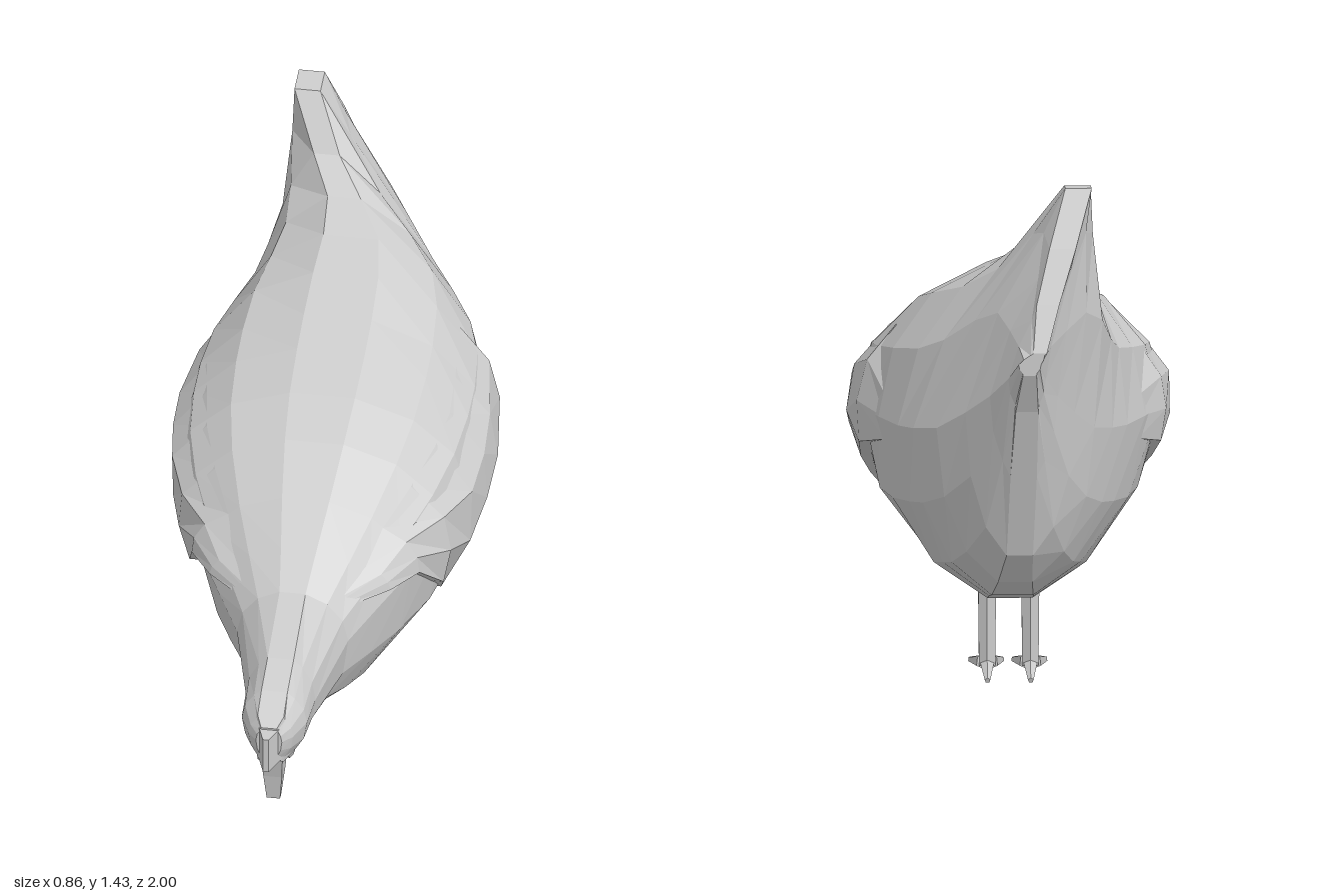
import * as THREE from 'three';

const SIDES = 14;
const material = new THREE.MeshStandardMaterial({ color: 0xcccccc, flatShading: true });
const thinMaterial = new THREE.MeshStandardMaterial({ color: 0xcccccc, flatShading: true, side: THREE.DoubleSide });

// Body sections from head to tail: z, top, widest height, bottom, half width
const sections = [
  [0.95, 0.49, 0.45, 0.39, 0.035],
  [0.92, 0.51, 0.45, 0.37, 0.06],
  [0.86, 0.55, 0.46, 0.35, 0.088],
  [0.76, 0.59, 0.47, 0.34, 0.094],
  [0.52, 0.645, 0.51, 0.28, 0.15],
  [0.42, 0.72, 0.56, 0.235, 0.215],
  [0.31, 0.805, 0.61, 0.195, 0.285],
  [0.17, 0.9, 0.66, 0.165, 0.355],
  [0.04, 0.965, 0.7, 0.17, 0.395],
  [-0.1, 1.015, 0.72, 0.22, 0.41],
  [-0.21, 1.055, 0.73, 0.285, 0.41],
  [-0.34, 1.105, 0.73, 0.235, 0.395],
  [-0.46, 1.15, 0.73, 0.235, 0.355],
  [-0.57, 1.2, 0.73, 0.265, 0.305],
  [-0.65, 1.28, 0.74, 0.285, 0.265],
  [-0.74, 1.42, 0.76, 0.34, 0.21],
  [-0.82, 1.43, 0.82, 0.43, 0.145],
  [-0.89, 1.28, 0.88, 0.66, 0.09],
  [-0.95, 1.14, 0.94, 0.85, 0.05],
  [-1.0, 1.02, 0.99, 0.96, 0.03],
];

// The tail pinches the upper half into a blade; the breast pinches the lower half into a keel
const bump = (z, centre, spread) => Math.exp(-(((z - centre) / spread) ** 2));
const tailAmount = (z) => bump(z, -0.77, 0.17);
const upperPower = (z) => 1 + 1.1 * tailAmount(z);
const lowerPower = (z) => 1 + 0.8 * bump(z, 0, 0.38);

// Sideways lean: the tail tip to one side, the breast slightly to the other
const lean = (z, c) => (c > 0 ? -0.17 * tailAmount(z) * c ** 1.2 : 0.022 * bump(z, 0, 0.4) * Math.sqrt(-c));

// Skin rows of points; closed rows wrap round and get end caps
function loft(rows, closed, flip = false) {
  const n = rows[0].length;
  const index = [];
  const tri = (a, b, c) => (flip ? index.push(a, c, b) : index.push(a, b, c));
  for (let i = 0; i < rows.length - 1; i++) {
    for (let j = 0; j < (closed ? n : n - 1); j++) {
      const a = i * n + j, b = i * n + ((j + 1) % n);
      tri(a, b, a + n);
      tri(b, b + n, a + n);
    }
  }
  if (closed) {
    const last = (rows.length - 1) * n;
    for (let j = 1; j < n - 1; j++) {
      tri(0, j + 1, j);
      tri(last, last + j, last + j + 1);
    }
  }
  const geometry = new THREE.BufferGeometry();
  geometry.setAttribute('position', new THREE.Float32BufferAttribute(rows.flat(2), 3));
  geometry.setIndex(index);
  geometry.computeVertexNormals();
  return geometry;
}

function bodyRing([z, top, mid, bottom, width]) {
  const centreX = -0.04 * Math.max(0, (-z - 0.7) / 0.3) + (z > 0.7 ? 0.008 : 0);
  return Array.from({ length: SIDES }, (_, j) => {
    const angle = ((j + 0.5) / SIDES) * Math.PI * 2;
    const s = Math.sin(angle);
    const c = Math.cos(angle) / Math.cos(Math.PI / SIDES);
    const power = c > 0 ? upperPower(z) : lowerPower(z);
    const x = Math.max(width * Math.abs(s) ** power, Math.min(0.035, width * 0.6));
    const y = mid + c * (c > 0 ? top - mid : mid - bottom);
    return [centreX + Math.sign(s) * x + lean(z, c), y, z];
  });
}

// Position of the body surface on one side at a given z and height
function sideX(z, y, side, lift) {
  let i = 0;
  while (i < sections.length - 2 && sections[i + 1][0] > z) i++;
  const a = sections[i], b = sections[i + 1];
  const t = (a[0] - z) / (a[0] - b[0]);
  const [, top, mid, bottom, width] = a.map((v, k) => v + (b[k] - v) * t);
  const c = THREE.MathUtils.clamp(y > mid ? (y - mid) / (top - mid) : (y - mid) / (mid - bottom), -0.98, 0.98);
  const half = width * Math.sqrt(1 - c * c) ** (y > mid ? upperPower(z) : lowerPower(z));
  return side * (half + lift) + lean(z, c);
}

// Wing outline: z, lower edge, upper edge
const wingOutline = [
  [0.49, 0.595, 0.62], [0.4, 0.605, 0.67], [0.31, 0.61, 0.74], [0.19, 0.51, 0.8], [0.06, 0.41, 0.85],
  [-0.06, 0.49, 0.88], [-0.18, 0.56, 0.92], [-0.36, 0.64, 0.96], [-0.47, 0.67, 0.84],
];

// The right wing is tucked in closer than the left
function wingGeometry(side) {
  // Across the wing: fraction of its height, lift off the body
  const profile = [[0, -0.04], [0, 0.022], [0.35, 0.024], [0.7, 0.02], [1, -0.004]];
  const rows = wingOutline.map(([z, low, high], i) => {
    const end = i === 0 || i === wingOutline.length - 1;
    const lower = side > 0 ? low : Math.max(low, 0.5);
    const upper = side > 0 ? high : Math.min(high, 0.89);
    return profile.map(([t, lift]) => {
      const y = lower + (upper - lower) * t;
      return [sideX(z, y, side, end ? -0.01 : lift), y, z];
    });
  });
  return loft(rows, false, side > 0);
}

// Tapered rod between two points
function rod(from, to, r0, r1, sides = 5) {
  const a = new THREE.Vector3(...from), b = new THREE.Vector3(...to);
  const dir = b.clone().sub(a);
  const geometry = new THREE.CylinderGeometry(r1, r0, dir.length(), sides);
  geometry.applyQuaternion(new THREE.Quaternion().setFromUnitVectors(new THREE.Vector3(0, 1, 0), dir.normalize()));
  const centre = a.add(b).multiplyScalar(0.5);
  return geometry.translate(centre.x, centre.y, centre.z);
}

// Four-cornered ring lying flat, for the beak and comb
const flatRing = (y, x, zFront, zBack, xFront = x) => [
  [0.008 + xFront, y, zFront], [0.008 + x, y, zBack], [0.008 - x, y, zBack], [0.008 - xFront, y, zFront],
];

export function createModel() {
  const model = new THREE.Group();
  const add = (name, geometry, parent = model, mat = material) => {
    const mesh = new THREE.Mesh(geometry, mat);
    mesh.name = name;
    parent.add(mesh);
    return mesh;
  };

  add('body', loft(sections.map(bodyRing), true));

  // Head details
  add('beak', loft([flatRing(0.38, 0.03, 0.91, 0.82), flatRing(0.3, 0.025, 0.89, 0.83),
    flatRing(0.225, 0.018, 0.878, 0.862)], true), model, thinMaterial);
  add('comb', loft([flatRing(0.485, 0.032, 1.0, 0.93, 0.008), flatRing(0.385, 0.032, 1.0, 0.93, 0.008)], true),
    model, thinMaterial);
  for (const side of [1, -1]) {
    const wattle = add(side > 0 ? 'leftWattle' : 'rightWattle', new THREE.SphereGeometry(1, 7, 5));
    wattle.scale.set(0.018, 0.05, 0.065);
    wattle.position.set(0.008 + side * 0.028, 0.343, 0.76);
  }

  // Wings, legs and feet
  for (const side of [1, -1]) {
    const label = side > 0 ? 'left' : 'right';
    add(label + 'Wing', wingGeometry(side), model, thinMaterial);

    const leg = new THREE.Group();
    leg.name = label + 'Leg';
    leg.position.set(side > 0 ? 0.065 : -0.05, 0, -0.38);
    model.add(leg);
    add('shank', rod([0, 0.035, 0], [0, 0.3, 0], 0.025, 0.028, 6), leg);
    for (const spread of [-1, 0, 1]) {
      add('frontToe', rod([spread * 0.01, 0.042, 0.005],
        [spread * 0.04, 0.011, spread ? 0.175 : 0.21], 0.021, 0.009), leg);
    }
    add('backToe', rod([0, 0.042, 0], [0, 0.012, -0.09], 0.021, 0.008), leg);
  }

  return model;
}
